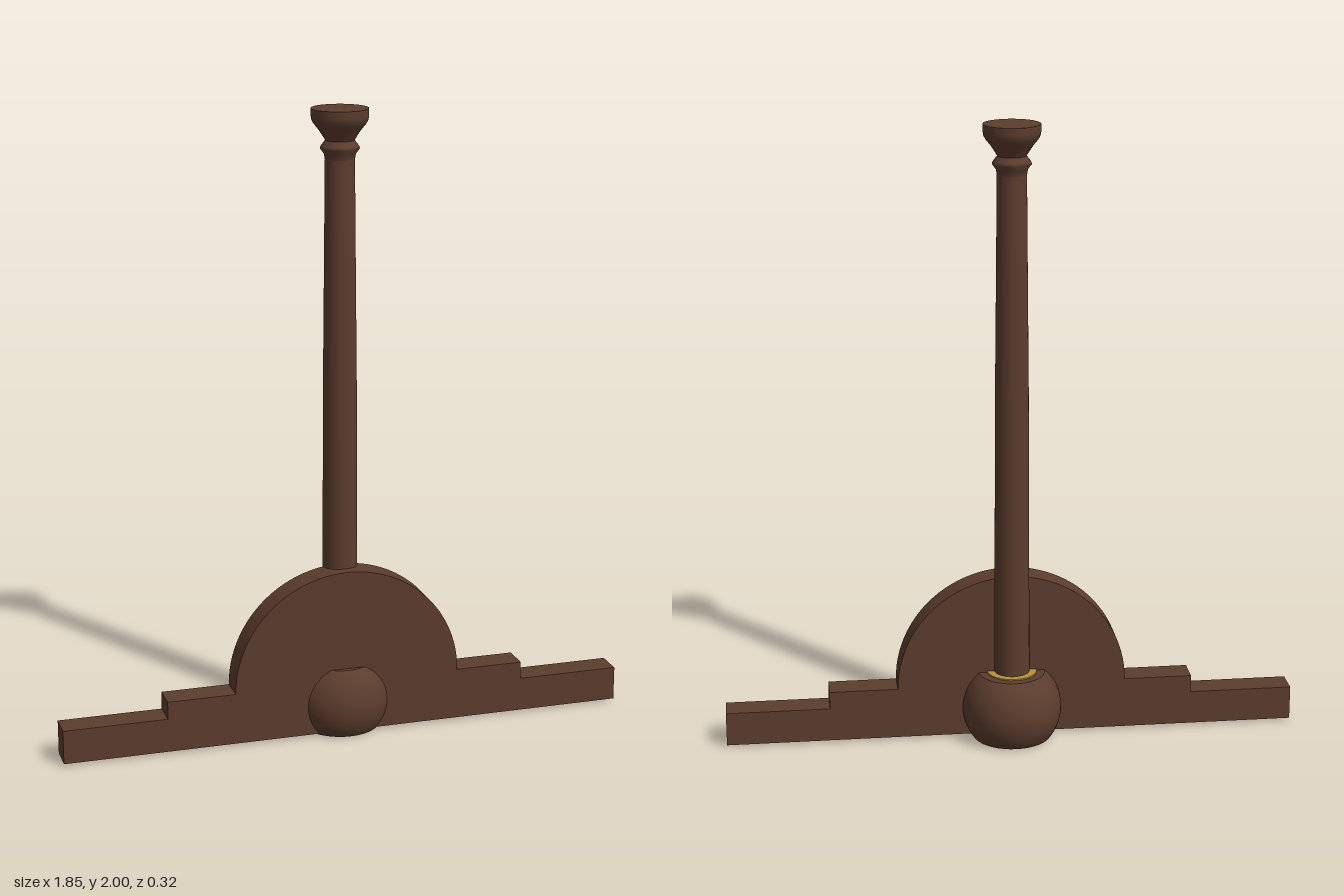
import * as THREE from 'three';

const wood = new THREE.MeshStandardMaterial({ color: 0x5c3d2e });
wood.name = 'dark wood';
const brass = new THREE.MeshStandardMaterial({ color: 0xb8923c });
brass.name = 'brass';

function add(group, name, geometry, material) {
  const mesh = new THREE.Mesh(geometry, material);
  mesh.name = name;
  group.add(mesh);
  return mesh;
}

// Turned part from [radius, height] pairs listed bottom to top
function turned(points, sides = 40) {
  return new THREE.LatheGeometry(points.map(([r, y]) => new THREE.Vector2(r, y)), sides);
}

// Stepped base with a half-round centre, standing in front of the column
function baseGeometry() {
  const s = new THREE.Shape();
  s.moveTo(-0.923, 0.008);
  s.lineTo(0.923, 0.008);
  s.lineTo(0.923, 0.118);
  s.lineTo(0.59, 0.118);
  s.lineTo(0.59, 0.175);
  s.lineTo(0.37, 0.175);
  s.absarc(0, 0.175, 0.37, 0, Math.PI, false);
  s.lineTo(-0.59, 0.175);
  s.lineTo(-0.59, 0.118);
  s.lineTo(-0.923, 0.118);
  s.closePath();
  return new THREE.ExtrudeGeometry(s, { depth: 0.09, bevelEnabled: false, curveSegments: 24 });
}

export function createModel() {
  const model = new THREE.Group();
  model.name = 'handle on stepped base';

  add(model, 'steppedBase', baseGeometry(), wood);

  // Ball cut flat at both ends
  const radius = 0.16, centre = 0.1, bottom = 0.002, top = 0.22;
  const a0 = Math.asin((bottom - centre) / radius);
  const a1 = Math.asin((top - centre) / radius);
  const arc = [];
  for (let i = 0; i <= 20; i++) {
    const a = a0 + (a1 - a0) * i / 20;
    arc.push([radius * Math.cos(a), centre + radius * Math.sin(a)]);
  }
  add(model, 'ball', turned(arc), wood);
  const ballTop = add(model, 'ballTop', new THREE.CircleGeometry(arc[20][0], 40), wood);
  ballTop.rotation.x = -Math.PI / 2;
  ballTop.position.y = top;
  const ballBottom = add(model, 'ballBottom', new THREE.CircleGeometry(arc[0][0], 40), wood);
  ballBottom.rotation.x = Math.PI / 2;
  ballBottom.position.y = bottom;

  // Brass collar around the column foot and brass plug underneath
  const collar = add(model, 'brassCollar', new THREE.CylinderGeometry(0.08, 0.08, 0.006, 32), brass);
  collar.position.y = top + 0.001;
  const plug = add(model, 'brassPlug', new THREE.CylinderGeometry(0.055, 0.055, 0.006, 32), brass);
  plug.position.y = 0.003;

  // Gently tapering column
  add(model, 'column', turned([
    [0.057, 0.2], [0.055, 0.65], [0.053, 1.14], [0.05, 1.44], [0.046, 1.86],
  ], 32), wood);

  // Neck ring and flared cap
  add(model, 'neckRing', turned([
    [0.046, 1.845], [0.049, 1.862], [0.061, 1.878], [0.058, 1.886], [0.043, 1.905],
  ], 32), wood);
  add(model, 'flaredCap', turned([
    [0.043, 1.9], [0.052, 1.915], [0.066, 1.936], [0.08, 1.953],
    [0.087, 1.966], [0.089, 1.978], [0.089, 2],
  ], 32), wood);
  const capTop = add(model, 'capTop', new THREE.CircleGeometry(0.089, 32), wood);
  capTop.rotation.x = -Math.PI / 2;
  capTop.position.y = 2;

  return model;
}
